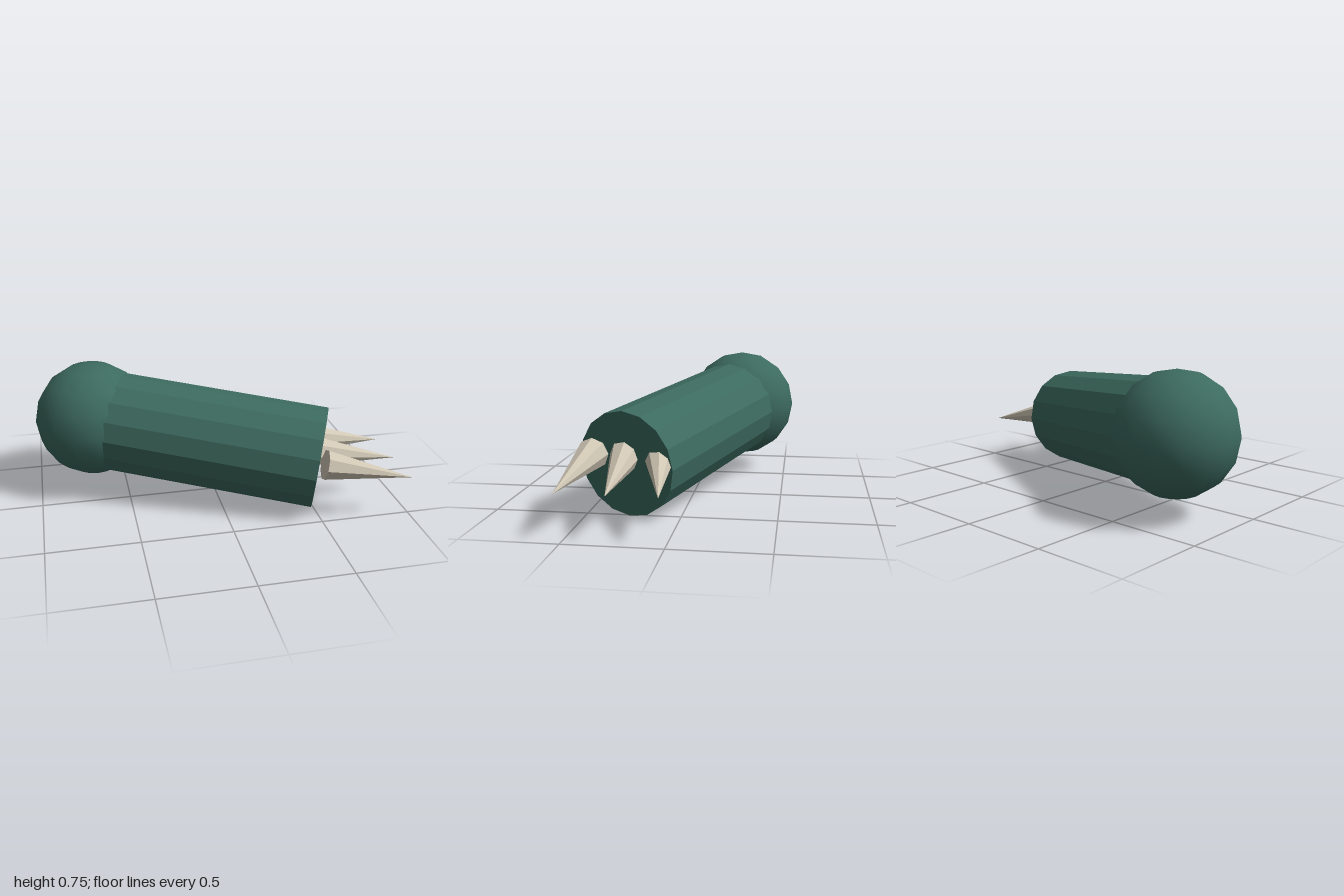
import * as THREE from 'three';

const hide = new THREE.MeshStandardMaterial({ color: 0x3d6b60 });
const hideFlat = new THREE.MeshStandardMaterial({ color: 0x3d6b60, flatShading: true });
const bone = new THREE.MeshStandardMaterial({ color: 0xcfc6b4, flatShading: true });

// Tapered rod running from one point to another
function rod(name, from, to, r0, r1, sides, material) {
  const a = new THREE.Vector3(...from);
  const b = new THREE.Vector3(...to);
  const geometry = new THREE.CylinderGeometry(r1, r0, a.distanceTo(b), sides);
  geometry.rotateX(Math.PI / 2); // axis along +z so lookAt can aim it
  const mesh = new THREE.Mesh(geometry, material);
  mesh.name = name;
  mesh.position.copy(a).lerp(b, 0.5);
  mesh.lookAt(b);
  return mesh;
}

export function createModel() {
  const group = new THREE.Group();
  group.name = 'clawedForearm';

  // Ball joint
  const joint = [-0.673, 0.43, -0.219];
  const ball = new THREE.Mesh(new THREE.SphereGeometry(0.326, 16, 8), hide);
  ball.name = 'elbowJoint';
  ball.position.set(...joint);
  group.add(ball);

  // Faceted forearm
  group.add(rod('forearm', joint, [0.543, 0.286, 0.281], 0.284, 0.284, 16, hideFlat));

  // Three claws fanning out from the end: [base z, tip z]
  [[0.11, 0.03], [0.285, 0.28], [0.46, 0.53]].forEach(([z0, z1], i) => {
    group.add(rod(`claw${i + 1}`, [0.51, 0.333, z0], [0.99, 0.24, z1], 0.085, 0, 8, bone));
  });

  return group;
}
